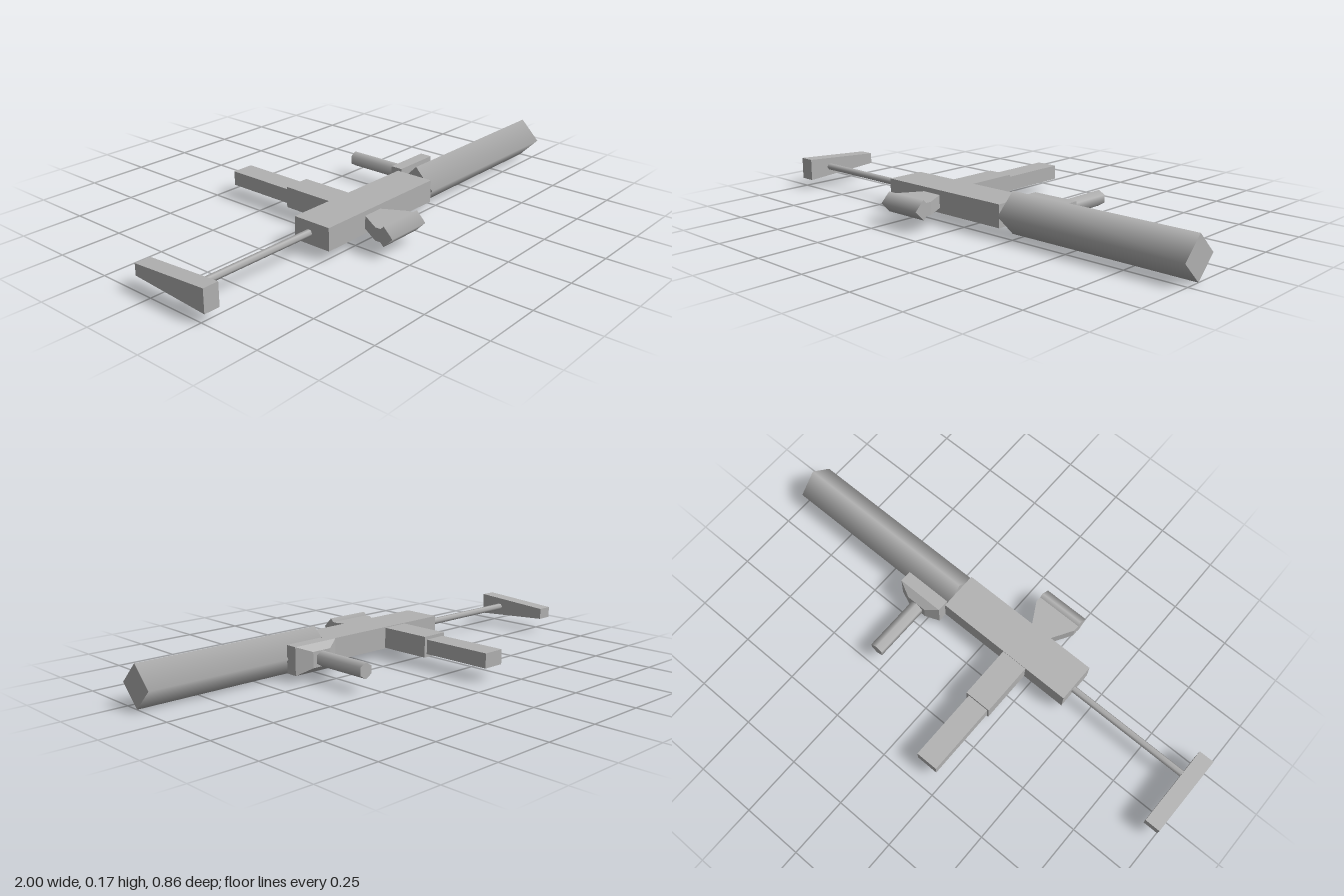
import * as THREE from 'three';

export function createModel() {
  const model = new THREE.Group();
  model.name = 'model';
  const grey = new THREE.MeshStandardMaterial({ color: 0xb2b2b2 });
  grey.name = 'grey';
  const midY = 0.083;

  function add(name, geometry) {
    const mesh = new THREE.Mesh(geometry, grey);
    mesh.name = name;
    model.add(mesh);
    return mesh;
  }

  // Block along z; each end is [z, xMin, xMax, yMin, yMax], back end first
  function block(name, back, front) {
    const geometry = new THREE.BoxGeometry(1, 1, 1);
    const p = geometry.attributes.position;
    for (let i = 0; i < p.count; i++) {
      const [z, x0, x1, y0, y1] = p.getZ(i) < 0 ? back : front;
      p.setXYZ(i, p.getX(i) < 0 ? x0 : x1, p.getY(i) < 0 ? y0 : y1, z);
    }
    geometry.computeVertexNormals();
    return add(name, geometry);
  }

  // Smooth-shaded prism along x
  function bar(name, x0, x1, z, radius, sides) {
    const geometry = new THREE.CylinderGeometry(radius, radius, x1 - x0, sides);
    geometry.rotateZ(Math.PI / 2);
    geometry.translate((x0 + x1) / 2, midY, z);
    return add(name, geometry);
  }

  // Central body, diamond barrel, thin stock rod
  block('body', [0.098, -0.41, 0.195, 0.037, 0.128], [0.262, -0.41, 0.195, 0.037, 0.128]);
  bar('barrel', 0.195, 1, 0.188, 0.083, 4);
  bar('stockRod', -0.936, -0.41, 0.168, 0.014, 6);

  // Shoulder plate, thinner towards the back
  block('shoulderPlate', [-0.07, -1, -0.936, 0.06, 0.106], [0.268, -1, -0.936, 0.037, 0.128]);

  // Two-step handle
  block('handleSleeve', [-0.126, -0.22, -0.108, 0.04, 0.125], [0.1, -0.22, -0.108, 0.04, 0.125]);
  block('handle', [-0.43, -0.213, -0.12, 0.053, 0.112], [-0.126, -0.213, -0.12, 0.053, 0.112]);

  // Sight: flared mount and a diamond tube
  block('sightMount', [0.26, -0.208, -0.122, 0.057, 0.109], [0.355, -0.265, -0.07, 0.057, 0.109]);
  block('sightBase', [0.355, -0.265, -0.07, 0.057, 0.109], [0.382, -0.265, -0.07, 0.057, 0.109]);
  bar('sightTube', -0.265, -0.07, 0.393, 0.04, 4);

  // Fore grip: clamp, tapered collar and rounded post
  block('clamp', [0.063, 0.197, 0.397, 0.026, 0.138], [0.113, 0.197, 0.397, 0.026, 0.138]);
  block('collar', [0.033, 0.25, 0.335, 0.05, 0.114], [0.063, 0.197, 0.397, 0.026, 0.138]);
  const post = new THREE.CylinderGeometry(1, 1, 0.245, 6);
  post.scale(0.031, 1, 0.032);
  post.rotateX(-Math.PI / 2);
  post.translate(0.291, 0.081, -0.0875);
  add('foreGrip', post);

  return model;
}
